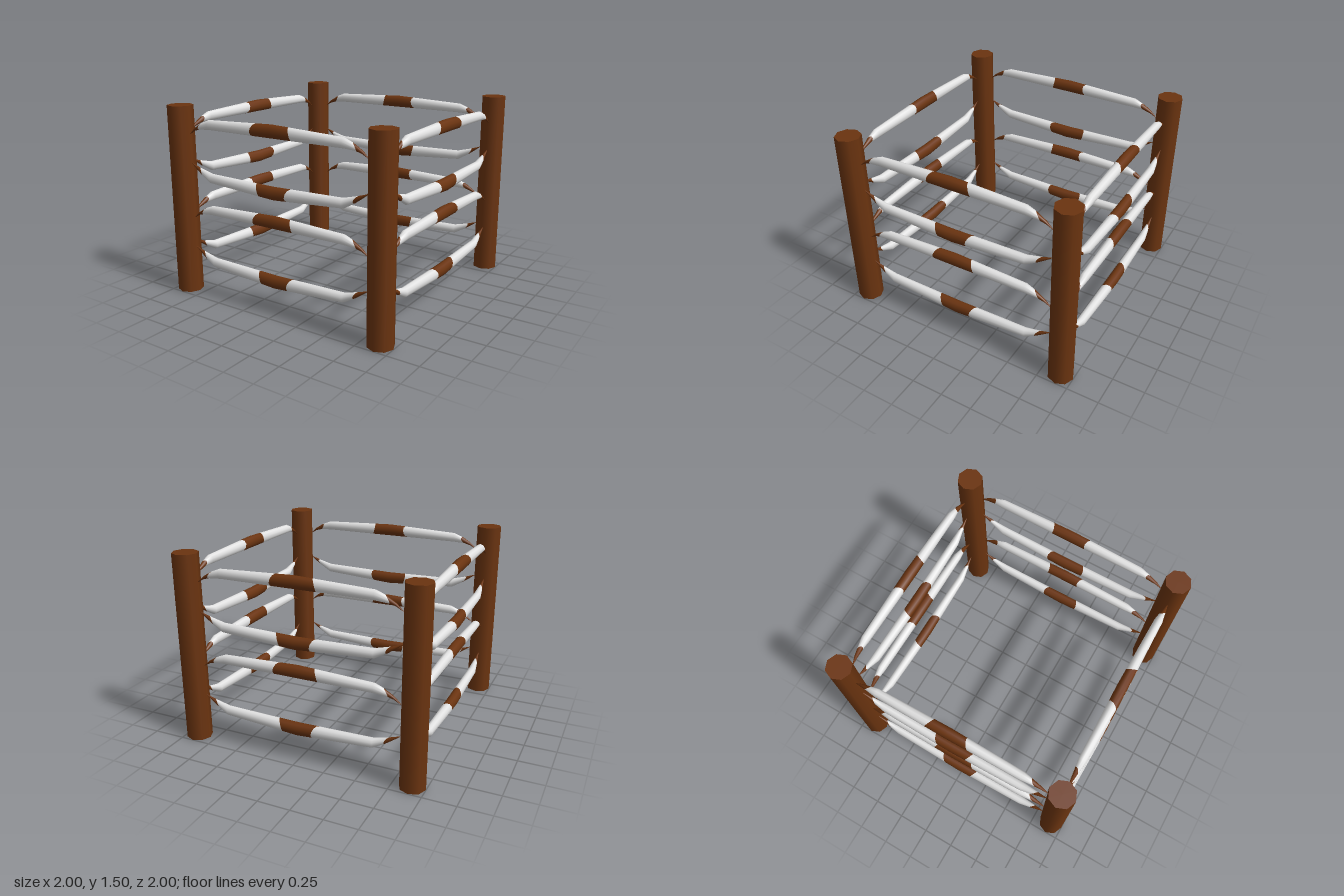
import * as THREE from 'three';

const SIDES = 10;

// Half profiles: [distance from middle, centre height, vertical radius, depth radius]
const ARCHED = [[0, 1.385, 0.05, 0.042], [0.6, 1.373, 0.038, 0.033], [0.68, 1.357, 0.023, 0.02],
  [0.75, 1.325, 0.011, 0.011], [0.8, 1.287, 0.002, 0.003]];
const SAGGING = [[0, 0.937, 0.051, 0.042], [0.6, 0.963, 0.038, 0.033], [0.7, 1.004, 0.022, 0.019],
  [0.75, 1.03, 0.012, 0.011], [0.8, 1.057, 0.002, 0.003]];

// Linear interpolation of a half profile
function sample(profile, x) {
  const d = Math.min(Math.abs(x), 0.8);
  let i = 1;
  while (i < profile.length - 1 && profile[i][0] < d) i++;
  const a = profile[i - 1], b = profile[i];
  const t = (d - a[0]) / (b[0] - a[0]);
  return a.map((v, k) => v + (b[k] - v) * t);
}

// Tapered bent rail; the colour borders are slightly slanted rings
function railGeometry(profile, band, tip, flip) {
  const half = [[0, 0], [band, 1], [0.6, 0], [tip, 1], [0.75, 0], [0.8, 0]];
  const rings = [...half.slice(1).reverse().map(([x, s]) => [x, s, -1]), ...half.map(([x, s]) => [x, s, 1])];
  const pos = [], idx = [];
  for (const [d, slant, side] of rings) {
    for (let j = 0; j < SIDES; j++) {
      const a = ((j + 0.5) / SIDES) * Math.PI * 2;
      const c = Math.cos(a), s = Math.sin(a);
      const x = side * (d + slant * flip * (0.018 * c - 0.012 * s));
      const [, y, ry, rz] = sample(profile, x);
      pos.push(x, y + ry * s, rz * c);
    }
  }
  for (let i = 0; i < rings.length - 1; i++) {
    for (let j = 0; j < SIDES; j++) {
      const k = (j + 1) % SIDES;
      const a = i * SIDES + j, b = i * SIDES + k, c = a + SIDES, d = b + SIDES;
      idx.push(a, c, b, b, c, d);
    }
  }
  const g = new THREE.BufferGeometry();
  g.setAttribute('position', new THREE.Float32BufferAttribute(pos, 3));
  g.setIndex(idx);
  // Tip, bone, middle band, bone, tip: two ring gaps each
  for (let n = 0; n < 5; n++) g.addGroup(n * 2 * SIDES * 6, 2 * SIDES * 6, n % 2);
  g.computeVertexNormals();
  return g;
}

export function createModel() {
  const model = new THREE.Group();
  model.name = 'postAndRailPen';
  const brown = new THREE.MeshStandardMaterial({ color: 0x6b3410 });
  brown.name = 'brown';
  const white = new THREE.MeshStandardMaterial({ color: 0xe2e2e2 });
  white.name = 'boneWhite';

  // Corner posts
  const postGeometry = new THREE.CylinderGeometry(0.1, 0.1, 1.5, 8);
  for (const x of [-0.9, 0.9]) {
    for (const z of [-0.9, 0.9]) {
      const post = new THREE.Mesh(postGeometry, brown);
      post.name = 'cornerPost';
      post.position.set(x, 0.75, z);
      model.add(post);
    }
  }

  // Two arched and two sagging rails on each side
  const arched = railGeometry(ARCHED, 0.157, 0.685, 1);
  const sagging = railGeometry(SAGGING, 0.143, 0.705, -1);
  const rows = [[arched, 0, 'archedRail'], [sagging, 0, 'saggingRail'],
    [arched, -0.665, 'archedRail'], [sagging, -0.68, 'saggingRail']];
  for (let i = 0; i < 4; i++) {
    const side = new THREE.Group();
    side.name = 'railSide';
    side.rotation.y = (i * Math.PI) / 2;
    for (const [geometry, y, name] of rows) {
      const rail = new THREE.Mesh(geometry, [brown, white]);
      rail.name = name;
      rail.position.set(0, y, 0.905);
      side.add(rail);
    }
    model.add(side);
  }
  return model;
}
